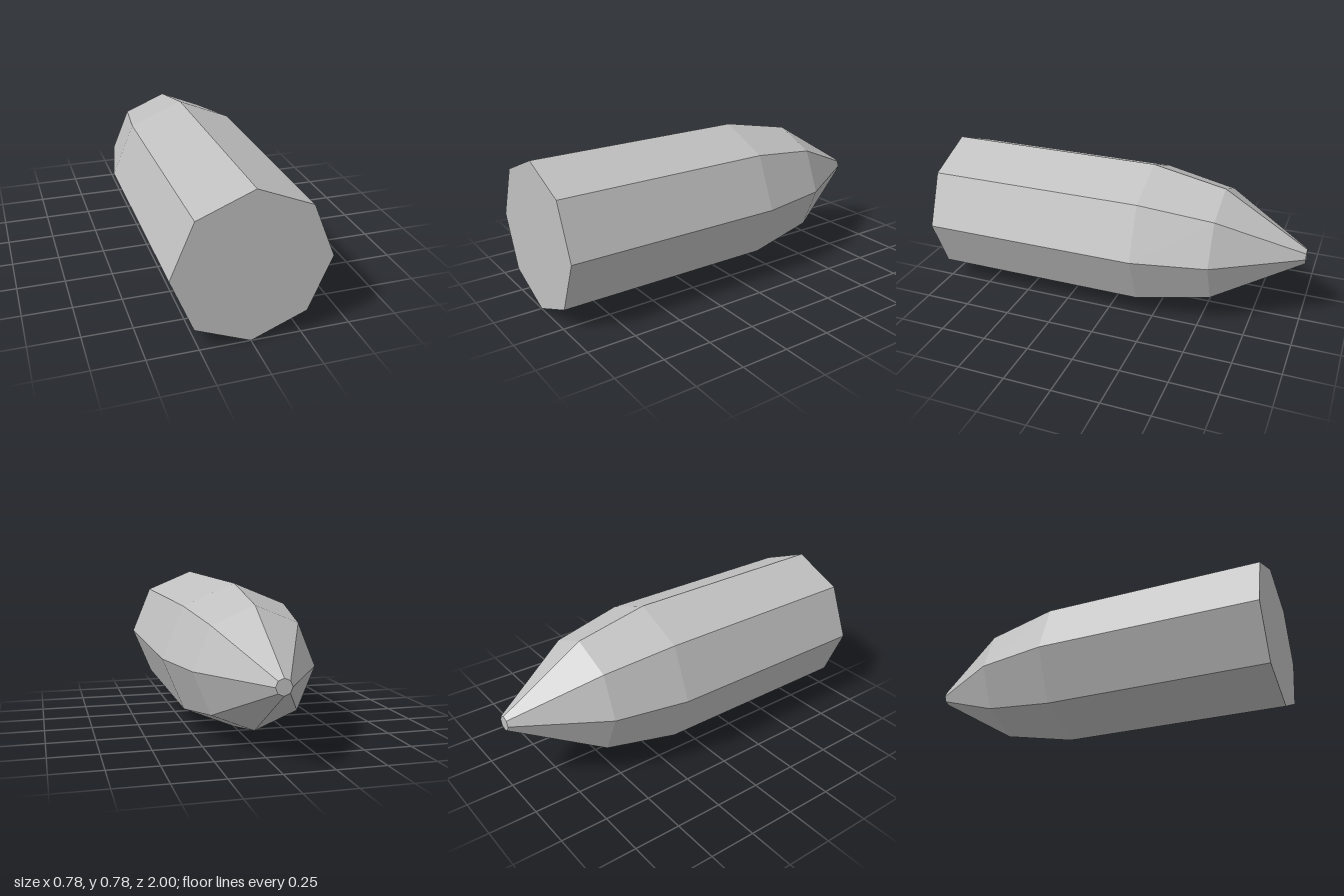
import * as THREE from 'three';

const SIDES = 8;
const RADIUS = 0.389;

export function createModel() {
  const grey = new THREE.MeshStandardMaterial({ color: 0xc0c0c0, flatShading: true });
  grey.name = 'grey';

  const model = new THREE.Group();
  model.name = 'bullet';

  // Eight-sided shell section; profile runs from front to back as [radius, z]
  const section = (name, profile) => {
    const points = profile.map(([r, z]) => new THREE.Vector2(r, -z));
    const geometry = new THREE.LatheGeometry(points, SIDES);
    geometry.rotateX(-Math.PI / 2);
    const mesh = new THREE.Mesh(geometry, grey);
    mesh.name = name;
    mesh.position.y = RADIUS;
    model.add(mesh);
  };

  // Flat base and straight body
  section('body', [[0, 1], [RADIUS, 1], [RADIUS, -0.165]]);
  // Gentle taper
  section('shoulder', [[RADIUS, -0.165], [0.31, -0.555]]);
  // Steep taper closed by a small blunt tip
  section('nose', [[0.31, -0.555], [0.04, -1], [0, -1]]);

  return model;
}
